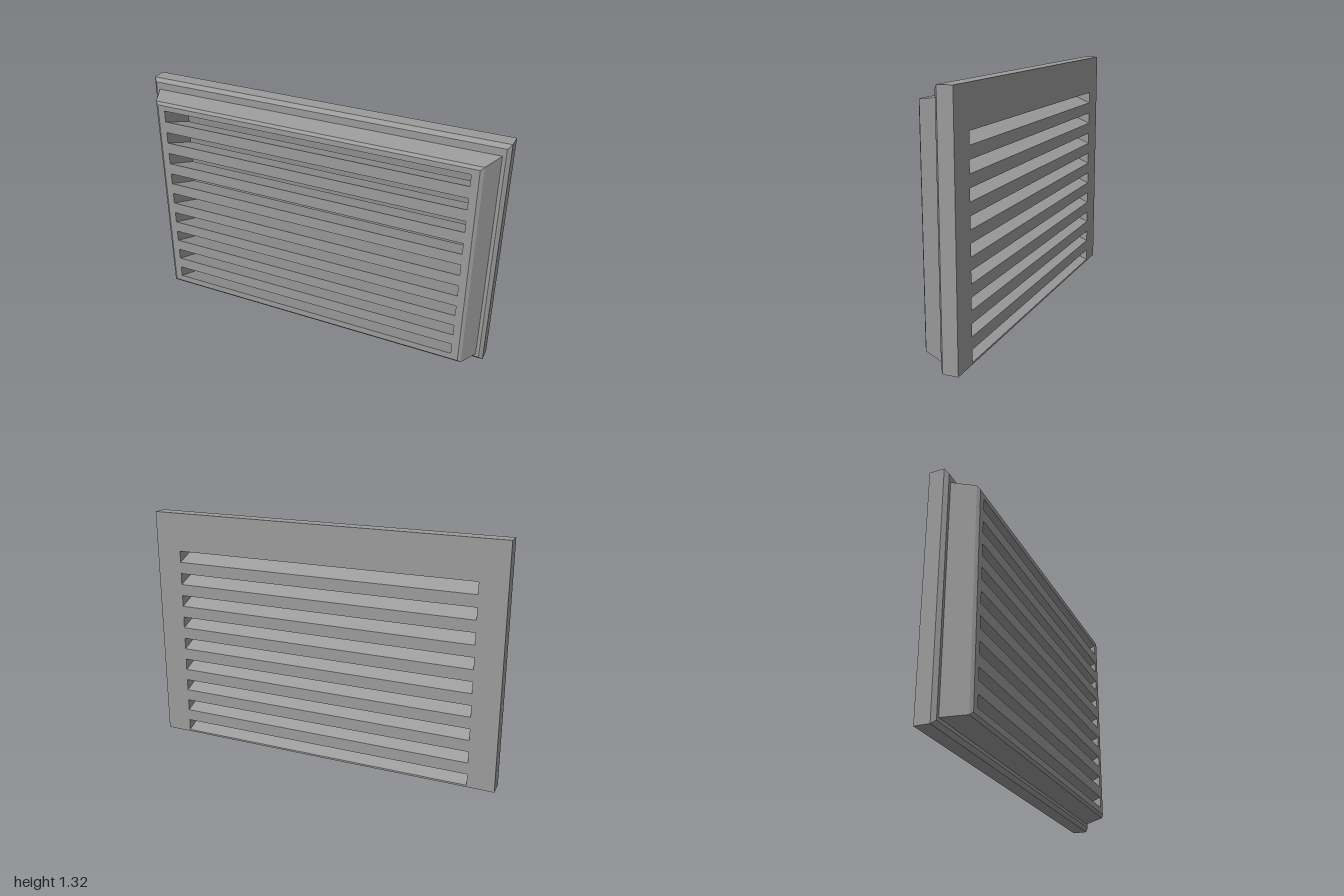
import * as THREE from 'three';

const HEIGHT = 1.32;
const BACK = -0.113, RIM = -0.015, FRONT = 0.113;
const SLOT = { count: 9, halfWidth: 0.853, height: 0.064, pitch: 0.129, frontY: 0.104, backY: 0.01 };

const material = new THREE.MeshStandardMaterial({ color: 0x9b9b9b });

// Corners of an upright rectangle, counter-clockwise seen from the front
function rect(halfWidth, y0, y1, z) {
  return [[-halfWidth, y0, z], [halfWidth, y0, z], [halfWidth, y1, z], [-halfWidth, y1, z]];
}

// Four-sided bands joining successive rectangles: outward going forwards, inward going backwards
function bands(rects) {
  const points = [];
  for (let k = 0; k + 1 < rects.length; k++) {
    const a = rects[k], b = rects[k + 1];
    for (let i = 0; i < 4; i++) {
      const j = (i + 1) % 4;
      points.push(...a[i], ...a[j], ...b[j], ...a[i], ...b[j], ...b[i]);
    }
  }
  const geometry = new THREE.BufferGeometry();
  geometry.setAttribute('position', new THREE.Float32BufferAttribute(points, 3));
  geometry.computeVertexNormals();
  return geometry;
}

function slotRect(i, baseY, z) {
  const y = baseY + i * SLOT.pitch;
  return rect(SLOT.halfWidth, y, y + SLOT.height, z);
}

// Flat panel pierced by the row of slots
function slottedPanel(outline, slotY) {
  const toPoints = (corners) => corners.map(([x, y]) => new THREE.Vector2(x, y));
  const shape = new THREE.Shape(toPoints(outline));
  for (let i = 0; i < SLOT.count; i++) {
    shape.holes.push(new THREE.Path(toPoints(slotRect(i, slotY, 0)).reverse()));
  }
  return new THREE.ShapeGeometry(shape);
}

export function createModel() {
  const model = new THREE.Group();
  model.name = 'louvreVent';
  const add = (name, geometry) => {
    const mesh = new THREE.Mesh(geometry, material);
    mesh.name = name;
    model.add(mesh);
    return mesh;
  };

  // Flange with chamfered front edge and flat rim
  const outer = rect(1, 0, HEIGHT, BACK);
  const bodyRoot = rect(0.962, 0.038, 1.26, RIM);
  add('flange', bands([
    outer, rect(1, 0, HEIGHT, -0.033), rect(0.98, 0.02, HEIGHT - 0.02, RIM), bodyRoot,
  ]));

  // Raised body, set slightly low, with sloping sides and a small bevel
  const face = rect(0.893, 0.068, 1.23, FRONT);
  add('raisedBody', bands([bodyRoot, rect(0.91, 0.053, 1.245, 0.101), face]));

  // Front and back panels
  add('frontPanel', slottedPanel(face, SLOT.frontY)).position.z = FRONT;
  const backGeometry = slottedPanel(outer, SLOT.backY);
  backGeometry.rotateY(Math.PI);
  add('backPanel', backGeometry).position.z = BACK;

  // Slot walls sloping down towards the back
  for (let i = 0; i < SLOT.count; i++) {
    add(`slot${i + 1}`, bands([slotRect(i, SLOT.frontY, FRONT), slotRect(i, SLOT.backY, BACK)]));
  }
  return model;
}
